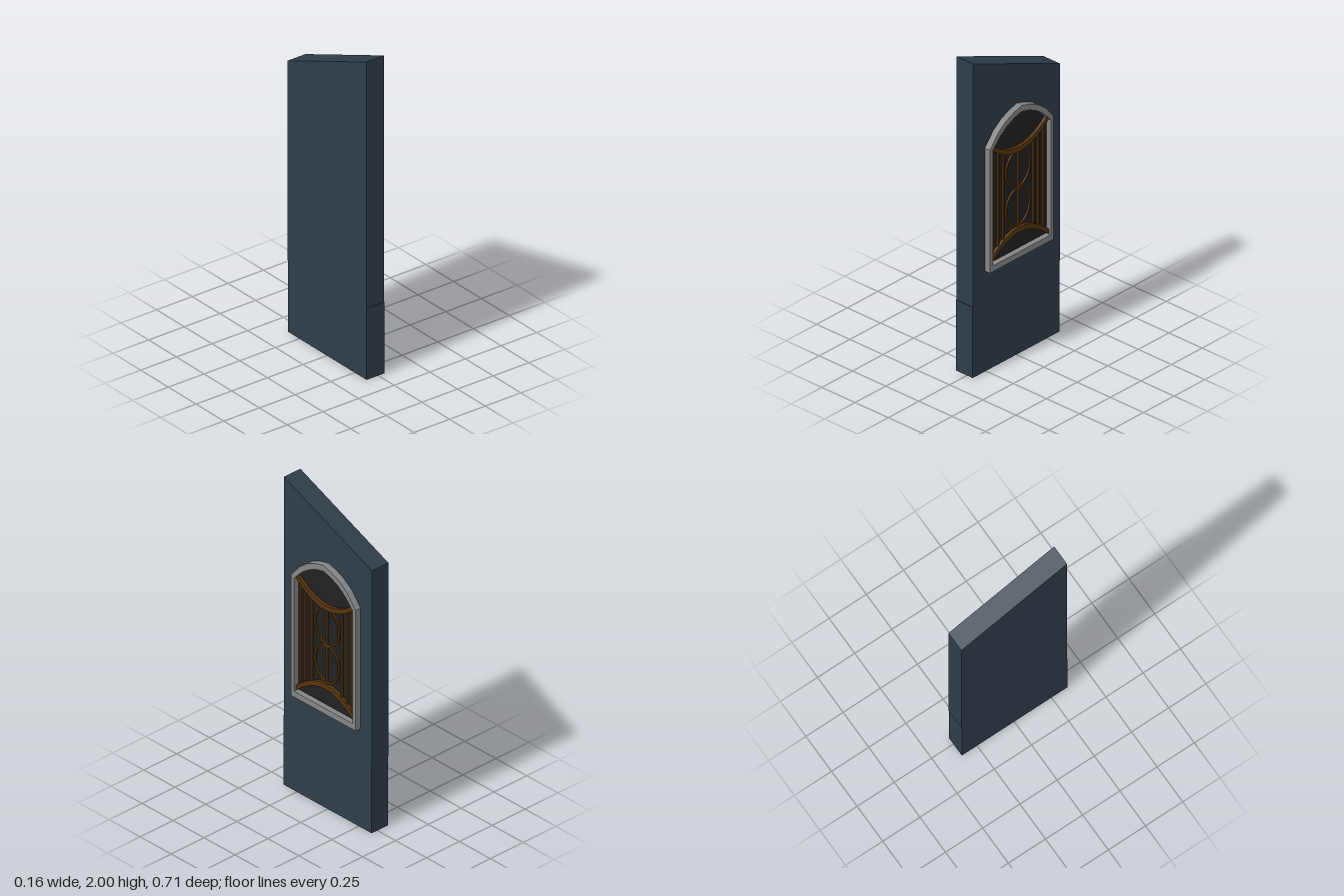
import * as THREE from 'three';

const material = (color) => new THREE.MeshStandardMaterial({ color, flatShading: true });

export function createModel() {
  const model = new THREE.Group();
  model.name = 'wallWithWindow';
  const wallMat = material(0x2f3d48);
  const stoneMat = material(0x858585);
  const paneMat = material(0x212121);
  const bronzeMat = material(0x56340f);

  const outline = (points) => points.map(([u, y]) => new THREE.Vector2(u, y));

  // Profiles lie in the wall plane (u = -z, y) and are extruded from x0 to x1
  function slab(name, shape, x0, x1, mat, parent = model) {
    const geometry = new THREE.ExtrudeGeometry(shape, { depth: x1 - x0, bevelEnabled: false, curveSegments: 20 });
    geometry.translate(0, 0, x0);
    geometry.rotateY(Math.PI / 2);
    const mesh = new THREE.Mesh(geometry, mat);
    mesh.name = name;
    parent.add(mesh);
  }

  // Wall: base and sloping upper part, slightly offset from each other
  const seam = 0.45, back = -0.082, face = 0.043;
  slab('wallBase', new THREE.Shape(outline([
    [-0.357, 0], [0.353, 0], [0.353, seam], [-0.357, seam]])), back, face, wallMat);
  slab('wallUpper', new THREE.Shape(outline([
    [-0.354, seam], [0.356, seam], [0.356, 1.705], [-0.354, 2]])), back, face, wallMat);

  // Window: everything below is centred on the arch axis
  const window = new THREE.Group();
  window.name = 'window';
  window.position.z = -0.003;
  model.add(window);

  // Faceted arch outline from the sill, mirrored about its apex
  function archOutline(bottom, half, apex) {
    const right = [[half[0][0], bottom], ...half];
    const left = right.map(([u, y]) => [-u, y]).reverse();
    return outline([...right, [0, apex], ...left]);
  }
  const outer = archOutline(0.64, [[0.261, 1.423], [0.19, 1.508], [0.126, 1.555], [0.063, 1.583]], 1.6);
  const inner = archOutline(0.677, [[0.237, 1.41], [0.174, 1.478], [0.115, 1.52], [0.058, 1.547]], 1.562);

  const frame = new THREE.Shape(outer);
  frame.holes.push(new THREE.Path(inner));
  slab('windowFrame', frame, face, 0.081, stoneMat, window);
  slab('windowPane', new THREE.Shape(inner), face - 0.01, face + 0.004, paneMat, window);

  // Curved rails: bands following a parabola between centre and edge heights
  const edge = 0.237;
  const railY = (u, middle, end) => middle + (end - middle) * (u / edge) ** 2;
  function rail(name, middle, end, thickness) {
    const top = [], bottom = [];
    for (let i = 0; i <= 10; i++) {
      const u = -edge + (2 * edge * i) / 10;
      const y = railY(u, middle, end);
      bottom.push([u, y - thickness / 2]);
      top.unshift([u, y + thickness / 2]);
    }
    slab(name, new THREE.Shape(outline([...bottom, ...top])), face, 0.066, bronzeMat, window);
  }
  rail('upperRail', 1.318, 1.425, 0.032);
  rail('lowerRail', 0.806, 0.692, 0.032);

  // Upright bars between the rails
  for (const u of [-0.206, -0.164, -0.122, 0, 0.122, 0.164, 0.206]) {
    const low = railY(u, 0.806, 0.692), high = railY(u, 1.318, 1.425);
    const bar = new THREE.Mesh(new THREE.BoxGeometry(0.012, high - low, 0.012), bronzeMat);
    bar.position.set(face + 0.009, (low + high) / 2, -u);
    bar.name = 'uprightBar';
    window.add(bar);
  }

  // Two oval rings stacked in the middle
  for (const y of [1.19, 0.947]) {
    const ring = new THREE.Shape().absellipse(0, y, 0.102, 0.124, 0, Math.PI * 2);
    ring.holes.push(new THREE.Path().absellipse(0, y, 0.092, 0.114, 0, Math.PI * 2));
    slab('ovalRing', ring, face, 0.058, bronzeMat, window);
  }
  return model;
}
